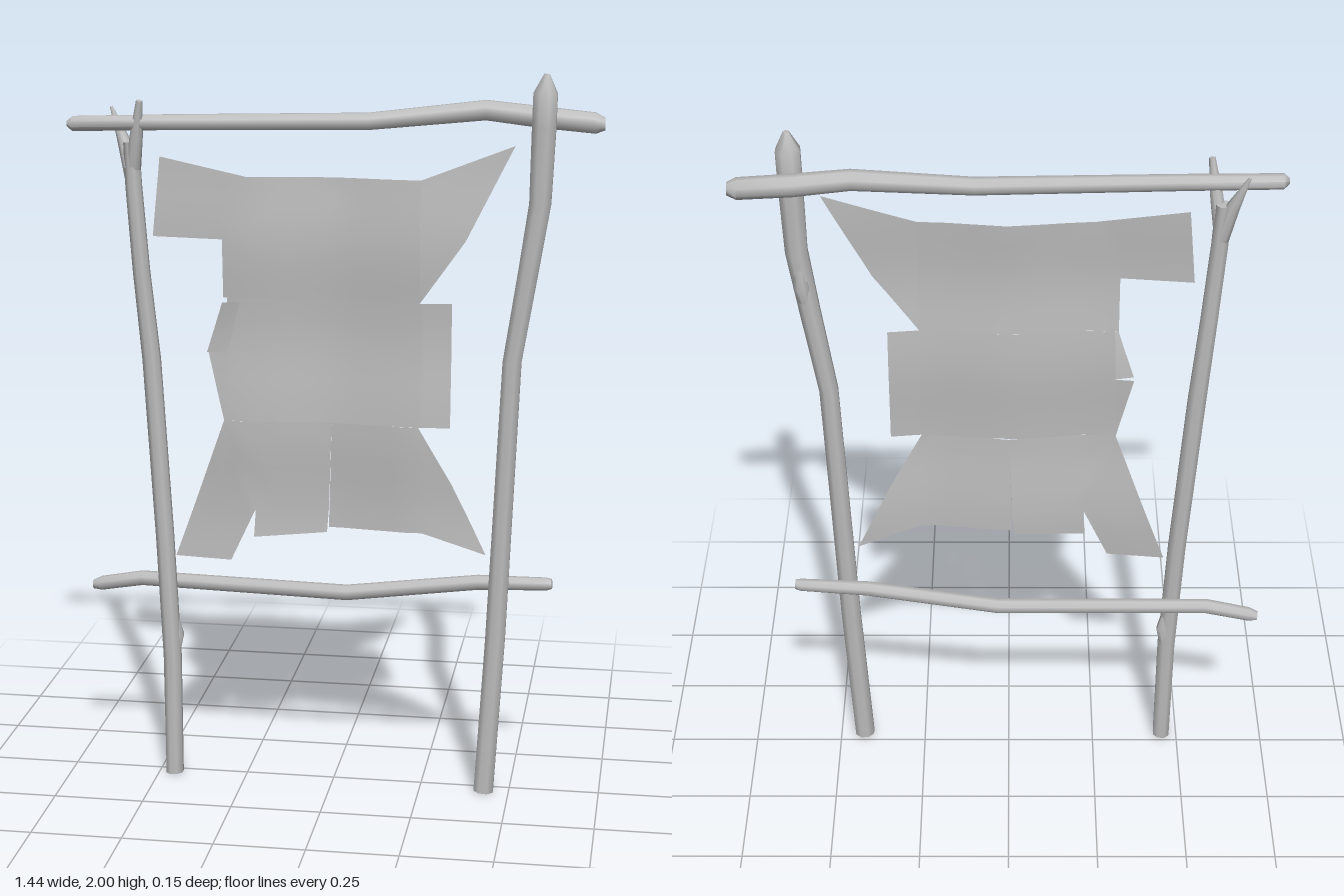
import * as THREE from 'three';
import { mergeGeometries, mergeVertices, toCreasedNormals } from 'three/addons/utils/BufferGeometryUtils.js';

const SIDES = 8;

// Branch through points [x, y, z, radius], with closed ends
function limb(points) {
  const centres = points.map(p => new THREE.Vector3(p[0], p[1], p[2]));
  const radii = points.map(p => p[3]);
  const last = centres.length - 1;
  const dir = centres[last].clone().sub(centres[0]).normalize();
  const u = new THREE.Vector3(0, 0, 1).cross(dir).normalize();
  const v = dir.clone().cross(u);
  const rings = [[centres[0], 0], ...centres.map((c, i) => [c, radii[i]]), [centres[last], 0]];
  const pos = [], index = [];
  for (const [c, r] of rings) {
    for (let j = 0; j < SIDES; j++) {
      const a = (j + 0.5) / SIDES * Math.PI * 2;
      const p = c.clone().addScaledVector(u, r * Math.cos(a)).addScaledVector(v, r * Math.sin(a));
      pos.push(p.x, p.y, p.z);
    }
  }
  for (let i = 0; i < rings.length - 1; i++) {
    for (let j = 0; j < SIDES; j++) {
      const k = (j + 1) % SIDES;
      const a = i * SIDES + j, b = i * SIDES + k, c = b + SIDES, d = a + SIDES;
      if (i > 0) index.push(a, b, c);
      if (i < rings.length - 2) index.push(a, c, d);
    }
  }
  const g = new THREE.BufferGeometry();
  g.setAttribute('position', new THREE.Float32BufferAttribute(pos, 3));
  g.setIndex(index);
  return toCreasedNormals(g, 0.9);
}

// Depth of the sagging hide: folds along both sides, gentle ripple down its height
function hideDepth(x, y) {
  const d = Math.abs(x);
  const fold = d < 0.22 ? 0.03 + 0.028 * d / 0.22 : 0.058 - 0.03 * (d - 0.22) / 0.25;
  return fold + 0.006 * Math.cos((y - 1.04) * Math.PI * 4);
}

// Four-cornered hide panel: top left, top right, bottom right, bottom left
function panel([tl, tr, br, bl], lift = 0) {
  const n = 6, pos = [], index = [];
  const mix = THREE.MathUtils.lerp;
  for (let i = 0; i <= n; i++) {
    for (let j = 0; j <= n; j++) {
      const s = j / n, t = i / n;
      const x = mix(mix(tl[0], tr[0], s), mix(bl[0], br[0], s), t);
      const y = mix(mix(tl[1], tr[1], s), mix(bl[1], br[1], s), t);
      pos.push(x, y, hideDepth(x, y) + lift * (1 - s));
      if (i < n && j < n) {
        const a = i * (n + 1) + j, b = a + n + 1;
        index.push(a, b, b + 1, a, b + 1, a + 1);
      }
    }
  }
  const g = new THREE.BufferGeometry();
  g.setAttribute('position', new THREE.Float32BufferAttribute(pos, 3));
  g.setIndex(index);
  return g;
}

export function createModel() {
  const group = new THREE.Group();
  const grey = new THREE.MeshStandardMaterial({ color: 0xbcbcbc, side: THREE.DoubleSide });
  grey.name = 'plainGrey';
  const add = (name, geometry) => {
    const mesh = new THREE.Mesh(geometry, grey);
    mesh.name = name;
    group.add(mesh);
  };

  // Upright poles
  add('leftPole', limb([
    [0.43, 0, 0.035, 0.029], [0.455, 0.45, 0.028, 0.029], [0.486, 1.23, 0.012, 0.027],
    [0.525, 1.48, 0.008, 0.029], [0.552, 1.66, 0.008, 0.031], [0.558, 1.86, 0.01, 0.034],
    [0.56, 1.95, 0.01, 0.034], [0.562, 2.0, 0.01, 0.008]]));
  add('rightPole', limb([
    [-0.455, 0, 0.03, 0.025], [-0.458, 0.35, 0.022, 0.026], [-0.475, 0.7, 0.016, 0.026],
    [-0.508, 1.2, -0.004, 0.026], [-0.53, 1.45, 0.004, 0.024], [-0.547, 1.68, 0.002, 0.023],
    [-0.552, 1.8, 0, 0.022]]));

  // Fork at the top of the right pole, holding the crossbar
  add('forkOuterProng', limb([
    [-0.55, 1.7, 0, 0.021], [-0.575, 1.8, -0.014, 0.018], [-0.612, 1.89, -0.03, 0.004]]));
  add('forkInnerProng', limb([
    [-0.548, 1.72, 0, 0.021], [-0.533, 1.82, 0.02, 0.018], [-0.519, 1.915, 0.036, 0.009]]));

  // Knots where twigs broke off
  add('rightPoleKnot', limb([
    [-0.455, 0.33, 0.018, 0.012], [-0.446, 0.41, 0.012, 0.02], [-0.452, 0.47, 0.016, 0.01]]));
  add('leftPoleKnot', limb([
    [0.53, 1.48, 0.0, 0.012], [0.542, 1.56, -0.01, 0.022], [0.547, 1.66, 0.0, 0.012]]));

  // Crossbars
  add('topBar', limb([
    [-0.72, 1.85, 0.032, 0.008], [-0.705, 1.85, 0.03, 0.021], [-0.45, 1.856, 0.012, 0.022],
    [0.09, 1.864, -0.024, 0.024], [0.4, 1.896, -0.052, 0.028], [0.55, 1.88, -0.052, 0.03],
    [0.69, 1.868, -0.046, 0.029], [0.715, 1.866, -0.044, 0.017]]));
  add('bottomBar', limb([
    [-0.705, 0.52, -0.068, 0.013], [-0.68, 0.525, -0.066, 0.02], [-0.56, 0.548, -0.06, 0.021],
    [0.03, 0.538, -0.046, 0.022], [0.4, 0.59, -0.034, 0.021], [0.59, 0.597, -0.026, 0.018],
    [0.605, 0.598, -0.025, 0.014]]));

  // Stretched hide with ragged flaps
  const panels = [
    // body
    panel([[-0.23, 1.72], [0.24, 1.72], [0.24, 1.55], [-0.295, 1.55]]),
    panel([[-0.295, 1.55], [0.24, 1.55], [0.24, 1.39], [-0.295, 1.39]]),
    panel([[-0.285, 1.39], [0.24, 1.39], [0.24, 1.05], [-0.295, 1.05]]),
    panel([[-0.295, 1.05], [0, 1.05], [-0.01, 0.8], [-0.21, 0.8]]),
    panel([[0, 1.05], [0.24, 1.05], [0.25, 0.75], [-0.01, 0.75]]),
    // corners
    panel([[-0.47, 1.765], [-0.23, 1.72], [-0.295, 1.55], [-0.49, 1.55]]),
    panel([[0.24, 1.72], [0.485, 1.812], [0.36, 1.56], [0.24, 1.39]]),
    panel([[-0.295, 1.05], [-0.21, 0.8], [-0.28, 0.65], [-0.44, 0.65]]),
    panel([[0.24, 1.05], [0.33, 0.89], [0.425, 0.69], [0.25, 0.75]]),
    // side and bottom tabs
    panel([[0.24, 1.39], [0.325, 1.39], [0.325, 1.05], [0.24, 1.05]]),
    panel([[-0.295, 1.38], [-0.25, 1.38], [-0.285, 1.24], [-0.34, 1.24]], 0.018),
    panel([[-0.34, 1.24], [-0.285, 1.24], [-0.29, 1.05], [-0.295, 1.05]]),
    panel([[-0.21, 0.8], [-0.01, 0.8], [-0.015, 0.735], [-0.215, 0.72]]),
  ];
  const hide = mergeVertices(mergeGeometries(panels), 1e-4);
  hide.computeVertexNormals();
  add('hide', hide);

  return group;
}
